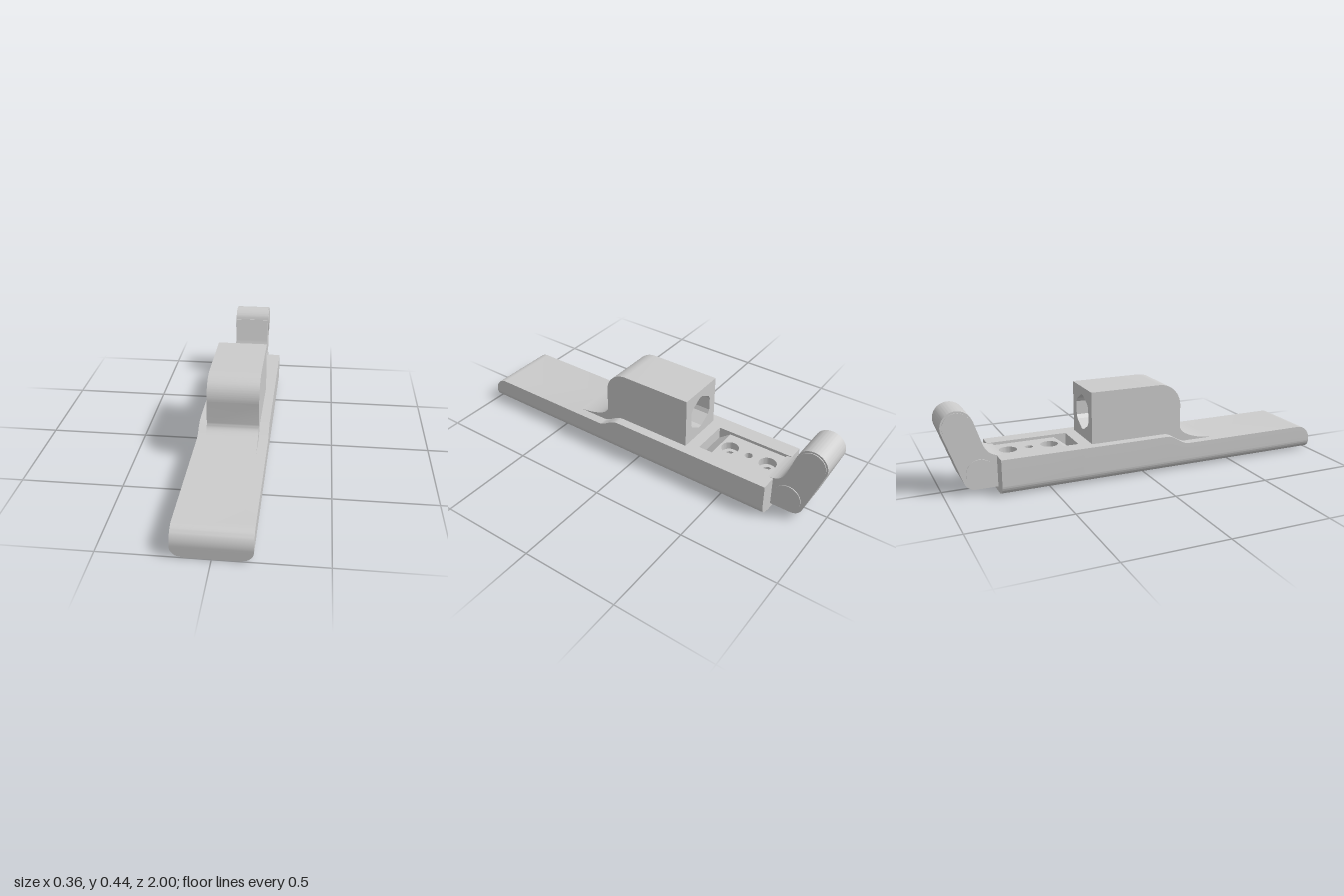
import * as THREE from 'three';
import { toCreasedNormals } from 'three/addons/utils/BufferGeometryUtils.js';

const material = new THREE.MeshStandardMaterial({ color: 0xcccccc });
const doubleSided = new THREE.MeshStandardMaterial({ color: 0xcccccc, side: THREE.DoubleSide });

const HALF = 0.178, CORE = 0.13, SKIN = 0.004, DECK = 0.183;
const BACK = -0.745, SLOT_FRONT = -0.335, SLOT_HALF = 0.098, SLOT_FLOOR = 0.025;

function add(group, name, geometry, mat = material) {
  const mesh = new THREE.Mesh(geometry, mat);
  mesh.name = name;
  group.add(mesh);
  return mesh;
}

function extrude(shape, depth, steps = 1) {
  return new THREE.ExtrudeGeometry(shape, { depth, steps, bevelEnabled: false, curveSegments: 20 });
}

// Side profile drawn in (z, y), extruded across x and centred
function sideExtrude(shape, width) {
  const g = extrude(shape, width).rotateY(-Math.PI / 2).translate(width / 2, 0, 0);
  return toCreasedNormals(g, 0.5);
}

// Horizontal plate with round holes: [z, radius]
function plate(halfWidth, zBack, zFront, y, height, holes) {
  const s = new THREE.Shape();
  s.moveTo(-halfWidth, -zFront).lineTo(halfWidth, -zFront);
  s.lineTo(halfWidth, -zBack).lineTo(-halfWidth, -zBack);
  for (const [z, r] of holes) s.holes.push(new THREE.Path().absarc(0, -z, r, 0, Math.PI * 2, true));
  const g = extrude(s, height).rotateX(-Math.PI / 2).translate(0, y, 0);
  return toCreasedNormals(g, 0.5);
}

// Cross-section with rounded lower edges, optionally cut by the slot
function section(top, slotted) {
  const s = new THREE.Shape();
  s.moveTo(-CORE, SKIN).lineTo(CORE, SKIN);
  s.absellipse(CORE, 0.052, HALF - CORE, 0.048, -Math.PI / 2, 0, false);
  s.lineTo(HALF, top);
  if (slotted) {
    s.lineTo(SLOT_HALF, top).lineTo(SLOT_HALF, SLOT_FLOOR);
    s.lineTo(-SLOT_HALF, SLOT_FLOOR).lineTo(-SLOT_HALF, top);
  }
  s.lineTo(-HALF, top);
  s.absellipse(-CORE, 0.052, HALF - CORE, 0.048, Math.PI, Math.PI * 1.5, false);
  return s;
}

// Base in front of the slot: one section swept along z with a varying top height
function sweptBase() {
  const stations = [[SLOT_FRONT, DECK], [0.12, DECK]];
  for (let i = 1; i <= 12; i++) {
    const t = i / 12;
    stations.push([0.12 + 0.12 * t, DECK - 0.05 * t * t * (3 - 2 * t)]);
  }
  for (let i = 0; i <= 12; i++) {
    const a = (i / 12) * Math.PI / 2;
    stations.push([0.925 + 0.075 * Math.sin(a), 0.055 + 0.078 * Math.cos(a)]);
  }
  const n = stations.length - 1;
  const g = extrude(section(1, false), 1, n);
  const p = g.attributes.position;
  for (let i = 0; i < p.count; i++) {
    const [z, top] = stations[Math.round(p.getZ(i) * n)];
    if (p.getY(i) > 0.9) p.setY(i, top);
    p.setZ(i, z);
  }
  // leave the underside open: the sole plate closes it
  const kept = [];
  for (let i = 0; i < p.count; i += 3) {
    const under = [0, 1, 2].every(k => Math.abs(p.getY(i + k) - SKIN) < 1e-5);
    if (!under) for (let k = 0; k < 3; k++) kept.push(p.getX(i + k), p.getY(i + k), p.getZ(i + k));
  }
  const out = new THREE.BufferGeometry();
  out.setAttribute('position', new THREE.Float32BufferAttribute(kept, 3));
  return toCreasedNormals(out, 0.5);
}

function buildBase() {
  const base = new THREE.Group();
  base.name = 'base';
  add(base, 'baseFront', sweptBase());
  const rear = extrude(section(DECK, true), SLOT_FRONT - BACK).translate(0, 0, BACK);
  add(base, 'slottedRear', toCreasedNormals(rear, 0.5));

  // Sole with a row of blind bores
  const bores = [0.9, 0.615, 0.335, 0.05];
  add(base, 'sole', plate(CORE, BACK, 1, 0, SKIN, bores.map(z => [z, 0.018])));
  const boreProfile = [[0.018, 0], [0.018, 0.05], [0, 0.05]].map(p => new THREE.Vector2(...p));
  for (const z of bores) {
    add(base, 'soleBore', toCreasedNormals(new THREE.LatheGeometry(boreProfile, 20), 0.5), doubleSided)
      .position.z = z;
  }
  return base;
}

function buildSocketBlock() {
  const block = new THREE.Group();
  block.name = 'socketBlock';
  const top = 0.445, split = -0.07, back = -0.275;

  // Solid front with rounded shoulder and flared foot
  const s = new THREE.Shape();
  s.moveTo(split, 0.1).lineTo(0.4, 0.1).lineTo(0.4, 0.133);
  s.bezierCurveTo(0.32, 0.138, 0.215, 0.165, 0.212, 0.215);
  s.lineTo(0.212, 0.325);
  s.absarc(0.092, 0.325, 0.12, 0, Math.PI / 2, false);
  s.lineTo(split, top);
  add(block, 'blockFront', sideExtrude(s, CORE * 2));

  // Rear with a six-sided socket whose corners are clipped
  const r = new THREE.Shape();
  r.moveTo(-CORE, 0.17).lineTo(CORE, 0.17).lineTo(CORE, top).lineTo(-CORE, top);
  const hole = [];
  for (let k = 0; k < 6; k++) {
    for (const d of [-22.7, 22.7]) {
      const a = THREE.MathUtils.degToRad(k * 60 + d);
      hole.push(new THREE.Vector2(0.09 * Math.cos(a), 0.315 + 0.09 * Math.sin(a)));
    }
  }
  r.holes.push(new THREE.Path(hole));
  add(block, 'blockSocket', extrude(r, split - back).translate(0, 0, back));
  return block;
}

function buildLever() {
  const lever = new THREE.Group();
  lever.name = 'lever';
  const w = 0.095, deck = 0.17, pitFront = -0.4, pitBack = -0.718;

  // Foot lying in the slot, sloped at its front end, and the upright arm
  const s = new THREE.Shape();
  s.moveTo(-0.85, SLOT_FLOOR).lineTo(SLOT_FRONT, SLOT_FLOOR).lineTo(SLOT_FRONT, 0.12);
  s.lineTo(pitFront, deck).lineTo(pitFront, 0.07).lineTo(pitBack, 0.07).lineTo(pitBack, deck + 0.01);
  s.bezierCurveTo(-0.77, 0.183, -0.795, 0.205, -0.81, 0.25);
  s.lineTo(-0.848, 0.365);
  s.absarc(-0.923, 0.342, 0.077, 0.31, Math.PI + 0.33, false);
  s.lineTo(-0.91, 0.075);
  s.bezierCurveTo(-0.9, 0.045, -0.88, SLOT_FLOOR, -0.85, SLOT_FLOOR);
  add(lever, 'leverArm', sideExtrude(s, w * 2));

  // Stacked plates forming counterbored screw holes and a pilot hole
  const screws = [-0.665, -0.455], pilot = [-0.56, 0.02];
  add(lever, 'screwSeat', plate(w, pitBack, pitFront, 0.07, 0.06, [...screws.map(z => [z, 0.023]), pilot]));
  add(lever, 'screwPlate', plate(w, pitBack, pitFront, 0.13, deck - 0.13, [...screws.map(z => [z, 0.044]), pilot]));

  // Round caps on both sides of the arm
  for (const side of [-1, 1]) {
    for (const [y, z] of [[0.342, -0.923], [0.105, -0.827]]) {
      const cap = new THREE.CylinderGeometry(0.068, 0.068, 0.008, 40).rotateZ(Math.PI / 2);
      add(lever, 'pivotCap', cap).position.set(side * w, y, z);
    }
  }
  return lever;
}

export function createModel() {
  const model = new THREE.Group();
  model.name = 'toolHandle';
  model.add(buildBase(), buildSocketBlock(), buildLever());
  return model;
}
